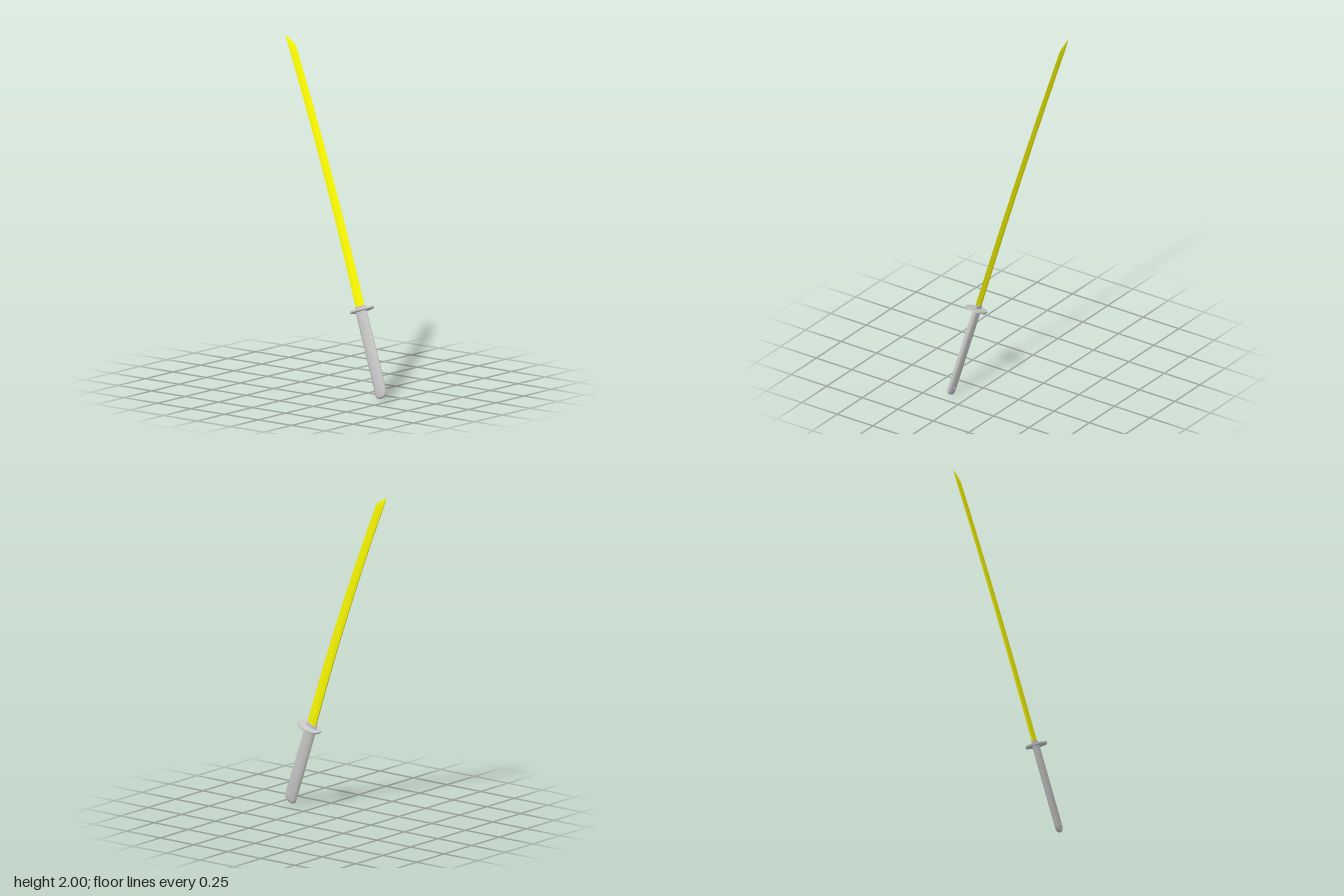
import * as THREE from 'three';
import { toCreasedNormals } from 'three/addons/utils/BufferGeometryUtils.js';

// Skin a stack of equal-length rings (arrays of [x, y, z], turning from +x to +z) and cap both ends
function loft(rings, crease) {
  const n = rings[0].length, last = (rings.length - 1) * n, index = [];
  for (let i = 0; i < rings.length - 1; i++) {
    for (let j = 0; j < n; j++) {
      const a = i * n + j, b = i * n + (j + 1) % n;
      index.push(a, a + n, b, b, a + n, b + n);
    }
  }
  for (let j = 1; j < n - 1; j++) {
    index.push(0, j, j + 1, last, last + j + 1, last + j);
  }
  const g = new THREE.BufferGeometry();
  g.setAttribute('position', new THREE.Float32BufferAttribute(rings.flat(2), 3));
  g.setIndex(index);
  return toCreasedNormals(g, crease);
}

// Oval ring: half thickness along x, half width along z, shifted by z
function oval(y, thick, width, z, sides = 20) {
  return Array.from({ length: sides }, (_, j) => {
    const a = (j / sides) * Math.PI * 2;
    return [thick * Math.cos(a), y, z + width * Math.sin(a)];
  });
}

export function createModel() {
  const grey = new THREE.MeshStandardMaterial({ color: 0xcccccc });
  const yellow = new THREE.MeshStandardMaterial({ color: 0xffff00 });
  const model = new THREE.Group();
  const sword = new THREE.Group();
  sword.name = 'sword';
  model.add(sword);

  const add = (name, geometry, material) => {
    const mesh = new THREE.Mesh(geometry, material);
    mesh.name = name;
    sword.add(mesh);
    return mesh;
  };

  // Handle: flattened oval grip with a rounded butt
  add('handle', loft([
    oval(-0.525, 0.006, 0.016, -0.006),
    oval(-0.521, 0.010, 0.028, -0.004),
    oval(-0.510, 0.013, 0.037, -0.001),
    oval(-0.490, 0.015, 0.042, 0.002),
    oval(-0.250, 0.016, 0.041, -0.003),
    oval(0, 0.016, 0.039, -0.009),
  ], 0.7), grey);

  // Cord eyelets on both faces near the butt
  for (const side of [1, -1]) {
    const eyelet = add('eyelet', new THREE.TorusGeometry(0.008, 0.0025, 6, 16), grey);
    eyelet.rotation.y = Math.PI / 2;
    eyelet.position.set(side * 0.0145, -0.48, 0.001);
  }

  // Guard: thin oval disc
  add('guard', loft([oval(-0.005, 0.062, 0.074, 0, 32), oval(0.005, 0.062, 0.074, 0, 32)], 0.6), grey);

  // Collar holding the blade root
  add('collar', loft([oval(0, 0.012, 0.042, -0.008), oval(0.025, 0.011, 0.038, -0.008)], 0.6), grey);

  // Blade: gently curved, flat spine, side ridges and a single cutting edge
  const spineAt = (s) => -0.038 - 0.067 * (s / 1.663) ** 2;
  const section = (s, edge) => {
    const spine = spineAt(s), width = edge - spine;
    const t = (0.007 - 0.003 * s / 1.663) * Math.min(1, width / 0.045);
    const ridge = spine + width * 0.35;
    return [[t, s, ridge], [0, s, edge], [-t, s, ridge], [-t * 0.7, s, spine], [t * 0.7, s, spine]];
  };
  const rings = [];
  for (let i = 0; i <= 16; i++) {
    const s = 0.01 + 1.579 * i / 16;
    rings.push(section(s, spineAt(s) + 0.063 - 0.011 * i / 16));
  }
  // Point: the edge sweeps back to the spine
  for (const [s, edge] of [[1.604, -0.057], [1.62, -0.069], [1.64, -0.084], [1.663, -0.1045]]) {
    rings.push(section(s, edge));
  }
  add('blade', loft(rings, 0.15), yellow);

  // Lean the whole sword: x = thickness, y = length, z = width
  const along = new THREE.Vector3(0.104, 1, -0.39).normalize();
  const thick = new THREE.Vector3(1, -0.104, 0).normalize();
  const wide = new THREE.Vector3().crossVectors(thick, along);
  sword.quaternion.setFromRotationMatrix(new THREE.Matrix4().makeBasis(thick, along, wide));
  sword.position.set(-0.05, 0.495, 0.245);
  return model;
}
